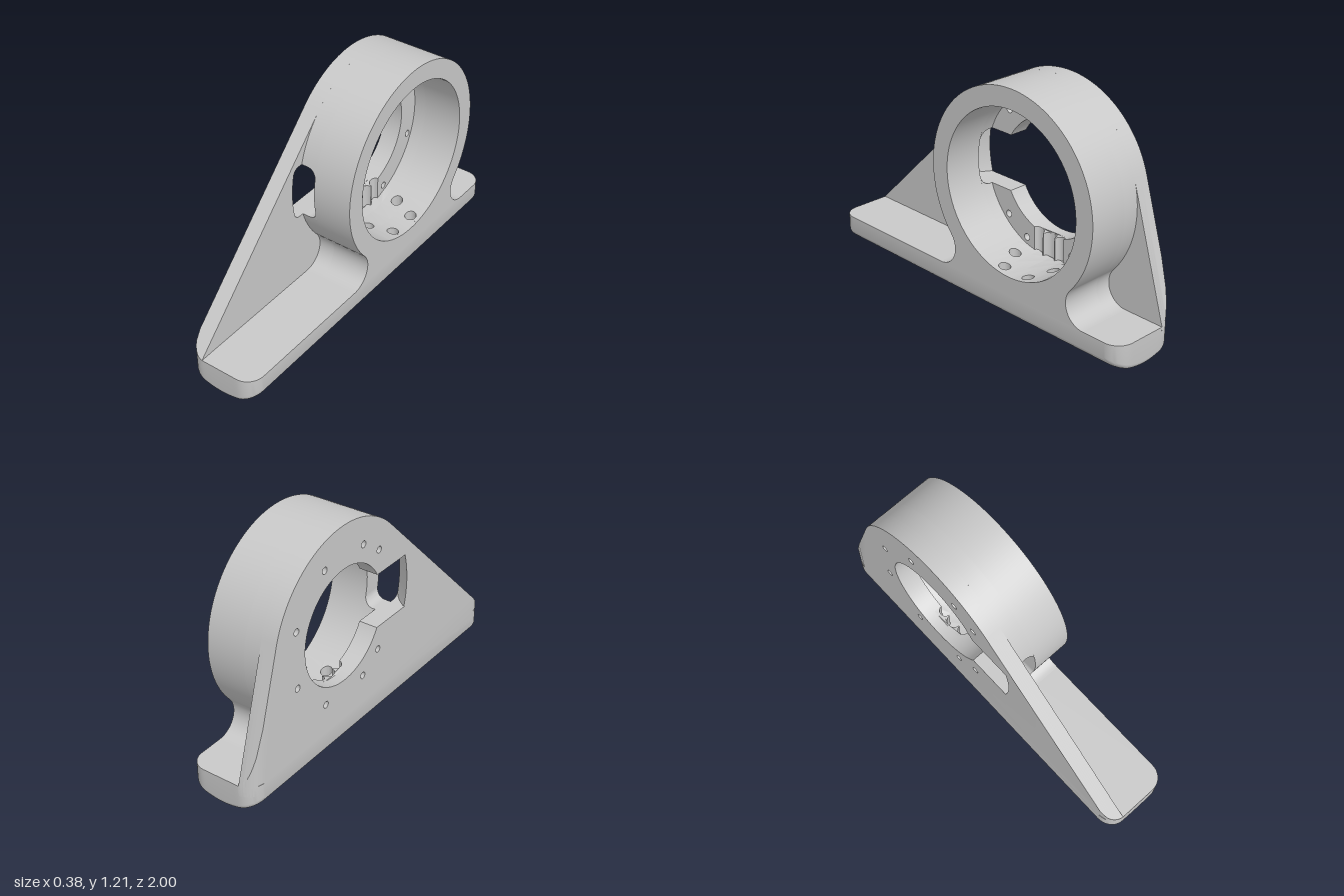
import * as THREE from 'three';
import { toCreasedNormals } from 'three/addons/utils/BufferGeometryUtils.js';

const CU = 0.29, CY = 0.68;              // ring axis, with u = -z
const R_OUT = 0.53, R_BORE = 0.428, R_HOLE = 0.305, SLOT = 0.148;
const X_BACK = -0.19, X_LIP = -0.13, X_PLATE = -0.107, X_DISC = -0.087;
const DEG = 180 / Math.PI;
const P = (x, y) => new THREE.Vector2(x, y);
const asin = (a, r) => Math.asin(a / r) * DEG;

function arc(cx, cy, r, a0, a1, n = 48) {
  return Array.from({ length: n + 1 }, (_, i) => {
    const a = (a0 + (a1 - a0) * i / n) / DEG;
    return P(cx + r * Math.cos(a), cy + r * Math.sin(a));
  });
}
const ringArc = (r, a0, a1, n) => arc(CU, CY, r, a0, a1, n);

function extrude(points, holes, depth, steps = 1) {
  const shape = new THREE.Shape(points);
  shape.holes = holes.map(h => new THREE.Path(h));
  return new THREE.ExtrudeGeometry(shape, { depth, steps, bevelEnabled: false });
}
// profile in (u, y), extruded from x0 to x1
const alongX = (points, holes, x0, x1, steps) =>
  extrude(points, holes, x1 - x0, steps).rotateY(Math.PI / 2).translate(x0, 0, 0);
// profile in (x, u), extruded from y0 upward
const alongY = (points, holes, y0, h) =>
  extrude(points, holes, h).rotateX(-Math.PI / 2).translate(0, y0, 0);

function reshape(geo, rule) {
  const p = geo.attributes.position, v = new THREE.Vector3();
  for (let i = 0; i < p.count; i++) {
    rule(v.fromBufferAttribute(p, i));
    p.setXYZ(i, v.x, v.y, v.z);
  }
  return geo;
}
// bend the top of a block onto a horizontal cylinder of radius r
const fitFloor = (geo, r, above) => reshape(geo, v => {
  if (v.y > above) v.y = CY - Math.sqrt(r * r - (v.z + CU) ** 2);
});

// base: nested rounded rectangles, crowned underneath with a soft lower edge
function baseGeometry() {
  const loop = (t, lift) => {
    const r = Math.max(0.09 - t, 0.003), hx = Math.max(0.19 - t, 0.0031), hz = 1 - t, pts = [];
    [[1, 1, 0], [-1, 1, 90], [-1, -1, 180], [1, -1, 270]].forEach(([sx, sz, a], k) => {
      pts.push(...arc(sx * (hx - r), sz * (hz - r), r, a, a + 90, 10));
      if (k % 2 === 0) for (let i = 1; i < 10; i++)
        pts.push(P(sx * (hx - r) * (1 - i / 5), sz * hz));
    });
    return pts.map(q => [q.x, lift === null ? 0.155 : lift + 0.04 * (q.x / 0.17) ** 2, q.y]);
  };
  const rows = [loop(0, null)], f = 0.028;
  for (let i = 0; i <= 6; i++) {
    const a = i / 6 * Math.PI / 2;
    rows.push(loop(f * (1 - Math.cos(a)), f * (1 - Math.sin(a))));
  }
  for (let i = 1; i <= 8; i++) rows.push(loop(f + (0.187 - f) * i / 8, 0));
  const n = rows[0].length, pos = rows.flat(2), idx = [];
  for (let j = 0; j < rows.length - 1; j++) for (let i = 0; i < n; i++) {
    const a = j * n + i, b = j * n + (i + 1) % n, c = a + n, d = b + n;
    idx.push(a, b, c, b, d, c);
  }
  const top = pos.length / 3, low = top + 1, last = (rows.length - 1) * n;
  pos.push(0, 0.155, 0, 0, 0, 0);
  for (let i = 0; i < n; i++) {
    const k = (i + 1) % n;
    idx.push(top, k, i, low, last + i, last + k);
  }
  const g = new THREE.BufferGeometry();
  g.setAttribute('position', new THREE.Float32BufferAttribute(pos, 3));
  g.setIndex(idx);
  return g;
}

export function createModel() {
  const group = new THREE.Group();
  const grey = new THREE.MeshStandardMaterial({ color: 0xc8c8c8 });
  grey.name = 'satin grey';
  const add = (name, geo) => {
    const mesh = new THREE.Mesh(toCreasedNormals(geo, 0.5), grey);
    mesh.name = name;
    group.add(mesh);
  };

  add('base', baseGeometry());

  // ring on a waisted foot; the bore has a pocket for the drilled floor
  const neck = 40.4, pocket = asin(0.18, R_BORE);
  const wOut = asin(SLOT, R_OUT), wIn = asin(SLOT, R_BORE);
  const footRight = [P(-0.197, 0.155), ...arc(0.777, 0.265, 0.11, -90, -180 - neck, 20)];
  const footLeft = arc(-0.197, 0.265, 0.11, neck, -90, 20).slice(0, -1);
  const outer = ringArc(R_OUT, -neck, 180 - wOut, 80);
  const outerLow = ringArc(R_OUT, 180 + wOut, 180 + neck, 12);
  const bore = ringArc(R_BORE, -90 + pocket, 180 - wIn, 80);
  const boreLow = ringArc(R_BORE, 180 + wIn, 270 - pocket, 20);
  const pocketPts = [P(0.11, 0.16), P(0.47, 0.16)];
  add('ring', alongX(
    [...footRight, ...outer, ...ringArc(R_OUT, 180 - wOut, 180 + wOut, 16).slice(1, -1),
      ...outerLow, ...footLeft],
    [[...bore, ...ringArc(R_BORE, 180 - wIn, 180 + wIn, 16).slice(1, -1), ...boreLow, ...pocketPts]],
    -0.02, 0.19));

  // rear part of the ring, opened by the side window
  add('windowedRing', alongX([
    ...footRight, ...outer, ...[...bore].reverse(), ...[...pocketPts].reverse(),
    ...[...boreLow].reverse(), ...outerLow, ...footLeft], [], X_PLATE, -0.02));

  // rounded corners of the window
  for (const s of [1, -1]) {
    const pts = [P(-0.02, SLOT), ...arc(-0.07, SLOT - 0.05, 0.05, 90, 0, 10)]
      .map(q => P(q.x, CY + s * q.y));
    add('windowCorner', reshape(extrude(pts, [], 1), v => {
      const r = v.z > 0.5 ? R_OUT : R_BORE;
      v.z = -CU + Math.sqrt(r * r - (v.y - CY) ** 2);
    }));
  }

  // triangular back plate in two layers, trimmed to the rounded base corners
  const outline = [P(-1, 0.1), P(1, 0.1), P(1, 0.155),
    ...ringArc(R_OUT, 16.6, 134.5, 60), P(-1, 0.155)];
  const bolts = [315, 292.5, 247.5, 202.5, 157.5, 112.5, 67.5, 45].map(a => {
    const [c] = ringArc(0.394, 180 - a, 180 - a, 1);
    return arc(c.x, c.y, 0.018, 0, 342, 19);
  });
  const trim = geo => reshape(geo, v => {
    const lim = 0.91 + Math.sqrt(Math.max(0, 0.0081 - Math.max(0, -0.1 - v.x) ** 2));
    if (Math.abs(v.z) <= lim) return;
    if (v.y > 0.12) v.y = 0.155 + (1 - lim) * (v.z > 0 ? 0.983 : 3.34);
    v.z = Math.sign(v.z) * lim;
  });
  const wHole = asin(SLOT, R_HOLE), notch = asin(0.1, R_HOLE), notchBore = asin(0.1, R_BORE);
  const slotEnd = [
    ...arc(CU - 0.534, CY + SLOT - 0.04, 0.04, 90, 165, 8), ...ringArc(0.585, 168, 192, 12),
    ...arc(CU - 0.534, CY - SLOT + 0.04, 0.04, 195, 270, 8)];
  const hole = ringArc(R_HOLE, -90 + notch, 180 - wHole, 60);
  const holeLow = ringArc(R_HOLE, 180 + wHole, 270 - notch, 16);
  add('backPlate', trim(alongX(outline,
    [[...ringArc(R_HOLE, -90 - notch, -90 + notch, 16).slice(1, -1), ...hole, ...slotEnd, ...holeLow],
      ...bolts], X_BACK, X_LIP, 6)));
  add('backPlateFront', trim(alongX(outline,
    [[...hole, ...slotEnd, ...holeLow, P(0.19, 0.24), P(0.39, 0.24)], ...bolts],
    X_LIP, X_PLATE, 3)));

  // raised seat inside the bore, split by the slot and the lip
  add('boltSeat', alongX(
    [...ringArc(R_BORE, -90 + notchBore, 180 - wIn, 80), ...[...hole].reverse()],
    bolts.slice(1, -1).filter(b => b[0].x > CU || b[0].y > CY).concat(bolts.slice(-1)),
    X_PLATE, X_DISC));
  add('boltSeatLow', alongX(
    [...ringArc(R_BORE, 180 + wIn, 270 - notchBore, 20), ...[...holeLow].reverse()],
    bolts.filter(b => b[0].x < CU && b[0].y < CY), X_PLATE, X_DISC));

  // sloping end wall of the window slot
  add('slotRamp', new THREE.LatheGeometry(
    [P(0.585, X_PLATE), P(0.525, X_BACK), P(0.59, X_BACK)], 16, -0.28, 0.56)
    .rotateZ(-Math.PI / 2).translate(0, CY, -CU));

  // scalloped lip below the central opening
  const lip = [P(X_LIP, 0.19), P(X_DISC, 0.19)];
  for (const [u, r] of [[0.22, 0.028], [0.29, 0.036], [0.36, 0.028]])
    lip.push(...arc(X_DISC, u, r, 270, 90, 14));
  lip.push(P(X_DISC, 0.39));
  for (let i = 0; i < 8; i++) lip.push(P(X_LIP, 0.39 - i * 0.025));
  add('scallopedLip', fitFloor(alongY(lip, [], 0.235, 0.1), R_HOLE, 0.3));

  // bore floor in blocks: x range, u divisions, drilled hole centres
  const floorRows = [
    [X_PLATE, -0.05, [0.11, 0.21, 0.29, 0.37, 0.47], []],
    [-0.05, 0.06, [0.11, 0.21, 0.29, 0.37, 0.47], [0.16, 0.42]],
    [0.06, 0.19, [0.11, 0.16, 0.26, 0.32, 0.42, 0.47], [0.21, 0.37]],
  ];
  for (const [x0, x1, us, drills] of floorRows) for (let i = 0; i < us.length - 1; i++) {
    const u0 = us[i], u1 = us[i + 1], n = 6, pts = [];
    for (let k = 0; k <= n; k++) pts.push(P(x1, u0 + (u1 - u0) * k / n));
    for (let k = n; k >= 0; k--) pts.push(P(x0, u0 + (u1 - u0) * k / n));
    const holes = drills.filter(u => u > u0 && u < u1)
      .map(u => arc((x0 + x1) / 2 + 0.01, u, 0.03, 0, 345, 23));
    add(holes.length ? 'drilledFloor' : 'boreFloor',
      fitFloor(alongY(pts, holes, 0.15, 0.1), R_BORE, 0.2));
  }
  return group;
}
